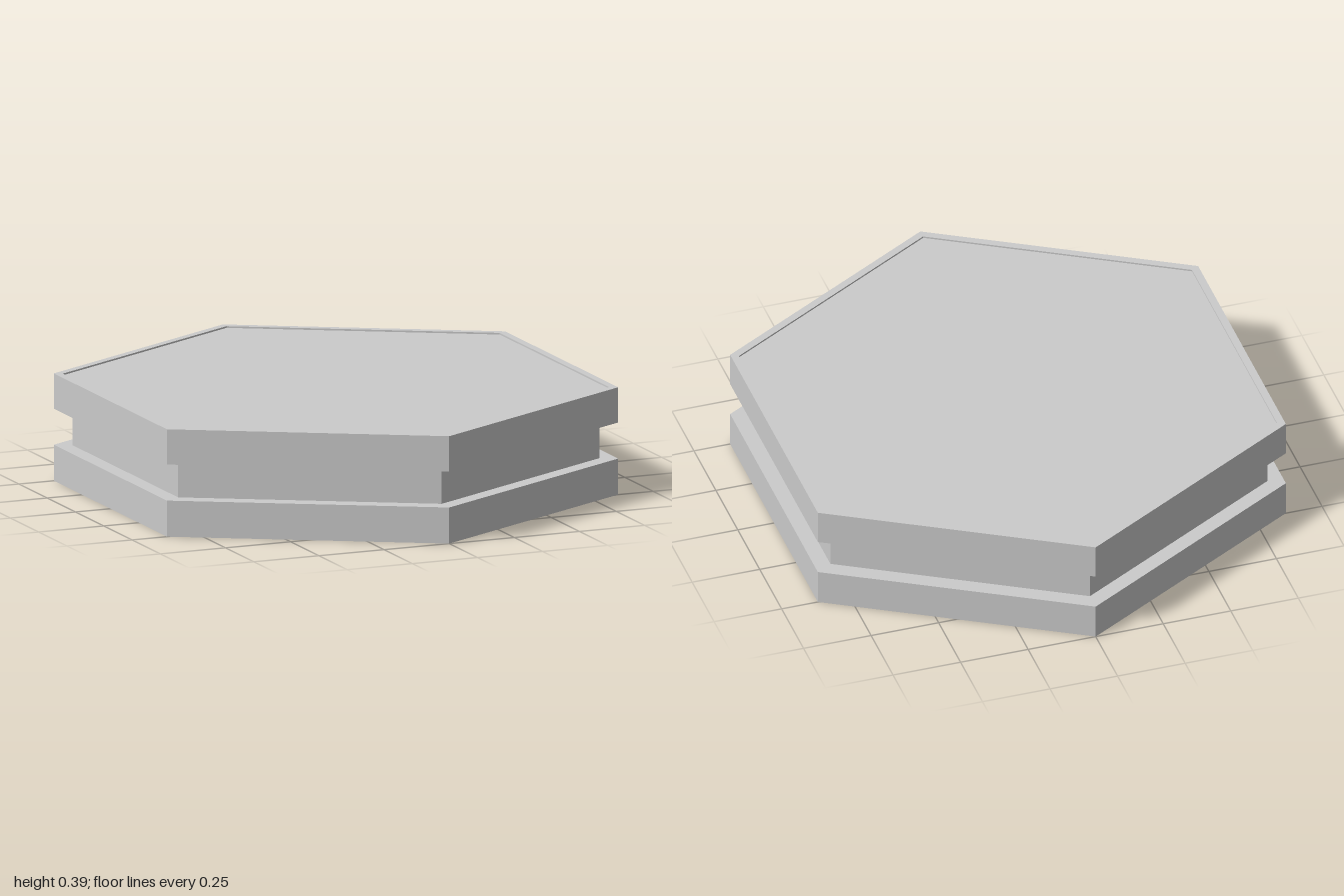
import * as THREE from 'three';

const material = new THREE.MeshStandardMaterial({ color: 0xcccccc, flatShading: true });

// Six-sided ring or plate from a [radius, height] profile, listed bottom to top
function hexPart(name, profile) {
  const points = profile.map(([r, y]) => new THREE.Vector2(r, y));
  const mesh = new THREE.Mesh(new THREE.LatheGeometry(points, 6), material);
  mesh.name = name;
  return mesh;
}

export function createModel() {
  const R = 1, RIM = 0.968, WAIST = 0.934; // corner radii
  const H = 0.387, LOW = 0.13, HIGH = 0.26; // heights
  const LIP = 0.006; // depth of the shallow recess inside each rim

  const group = new THREE.Group();
  group.name = 'hexagonalTile';

  // Lower plate with a recessed underside
  group.add(hexPart('lowerPlate', [[0, LIP], [RIM, LIP], [RIM, 0], [R, 0], [R, LOW], [WAIST, LOW]]));

  // Narrower band between the plates
  group.add(hexPart('middleBand', [[WAIST, LOW], [WAIST, HIGH]]));

  // Upper plate with a recessed top
  group.add(hexPart('upperPlate', [[WAIST, HIGH], [R, HIGH], [R, H], [RIM, H], [RIM, H - LIP], [0, H - LIP]]));

  return group;
}
